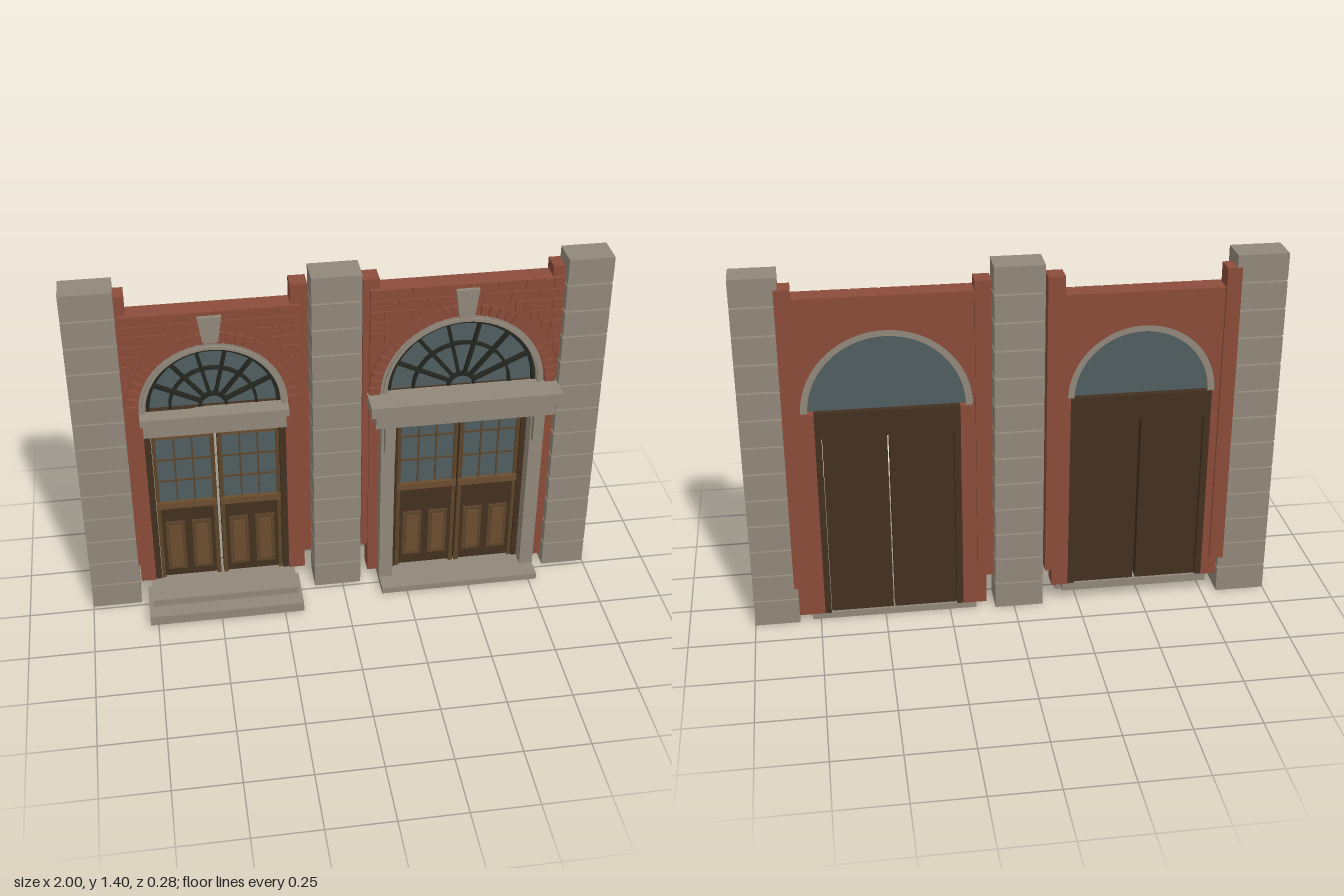
import * as THREE from 'three';

const mat = (name, color) => {
  const m = new THREE.MeshStandardMaterial({ color });
  m.name = name;
  return m;
};

export function createModel() {
  const stone = mat('stone', 0x91887a);
  const brick = mat('brick red', 0x8b4c3a);
  const darkWood = mat('dark wood', 0x433120);
  const wood = mat('wood', 0x5c4429);
  const railWood = mat('light wood', 0x6b4d2e);
  const glass = mat('glass', 0x505d60);
  const iron = mat('dark iron', 0x24261f);

  const root = new THREE.Group();
  root.name = 'doorwayFacade';

  const add = (parent, name, geo, m) => {
    const mesh = new THREE.Mesh(geo, m);
    mesh.name = name;
    parent.add(mesh);
    return mesh;
  };
  // Box given by its limits on each axis
  const box = (parent, name, m, x0, x1, y0, y1, z0, z1) => {
    const mesh = add(parent, name, new THREE.BoxGeometry(x1 - x0, y1 - y0, z1 - z0), m);
    mesh.position.set((x0 + x1) / 2, (y0 + y1) / 2, (z0 + z1) / 2);
    return mesh;
  };
  const slab = (parent, name, m, shape, z0, z1) => {
    const geo = new THREE.ExtrudeGeometry(shape, { depth: z1 - z0, bevelEnabled: false, curveSegments: 32 });
    const mesh = add(parent, name, geo, m);
    mesh.position.z = z0;
    return mesh;
  };
  // Part of a flat ring, between two radii and two angles
  const sector = (cy, r0, r1, a0, a1) => {
    const s = new THREE.Shape();
    s.absarc(0, cy, r1, a0, a1, false);
    s.absarc(0, cy, r0, a1, a0, true);
    s.closePath();
    return s;
  };

  // Stacked stone piers with open joints
  const pitch = 1.41 / 13;
  for (const [x0, x1] of [[-1, -0.81], [-0.112, 0.073], [0.83, 1]]) {
    const pier = new THREE.Group();
    pier.name = 'stonePier';
    root.add(pier);
    for (let i = 0; i < 13; i++) {
      box(pier, 'pierBlock', stone, x0, x1, i * pitch + 0.002, (i + 1) * pitch - 0.005, -0.135, -0.017);
    }
  }

  const SPRING = 0.875;

  // One bay: brick wall, arch, fanlight and double door, built around x = 0
  function bay(o) {
    const g = new THREE.Group();
    g.name = o.name;
    g.position.x = o.cx;
    root.add(g);
    const { rGlass, rStone, rBrick, half, base, top, left, right } = o;

    // Wall with an arched opening down to its foot
    const wall = new THREE.Shape();
    wall.moveTo(left, base);
    wall.lineTo(-half, base);
    wall.lineTo(-half, SPRING);
    wall.lineTo(-rStone, SPRING);
    wall.absarc(0, SPRING, rStone, Math.PI, 0, true);
    wall.lineTo(half, SPRING);
    wall.lineTo(half, base);
    wall.lineTo(right, base);
    wall.lineTo(right, top);
    wall.lineTo(left, top);
    wall.closePath();
    slab(g, 'brickWall', brick, wall, -0.13, -0.054);

    // Raised brick courses, cut back around the arch
    const course = (top - SPRING) / 10, len = 0.105, gap = 0.005;
    for (let r = 0; r < 10; r++) {
      const y0 = SPRING + r * course, dy = y0 - SPRING;
      const chord = dy < rBrick ? Math.sqrt(rBrick * rBrick - dy * dy) + 0.004 : 0;
      const spans = chord ? [[left, -chord], [chord, right]] : [[left, right]];
      for (const [a, b] of spans) {
        for (let x = left - (r % 2) * len / 2; x < b; x += len) {
          const x0 = Math.max(x, a), x1 = Math.min(x + len - gap, b);
          if (x1 - x0 > 0.006) box(g, 'brick', brick, x0, x1, y0 + gap, y0 + course, -0.056, -0.048);
        }
      }
    }

    // Brick piers at the ends of the wall
    for (const [a, b] of o.piers) box(g, 'brickPier', brick, a, b, 0.155, 1.36, -0.14, -0.064);

    // Radiating arch bricks and keystone
    const n = o.archBricks;
    for (let i = 0; i < n; i++) {
      const a = Math.PI * i / n, d = Math.PI / n;
      slab(g, 'archBrick', brick, sector(SPRING, rStone + 0.004, rBrick, a + d * 0.1, a + d * 0.9), -0.056, -0.043);
    }
    const [k0, k1] = o.key;
    const key = new THREE.Shape();
    key.moveTo(-0.028, k0);
    key.lineTo(0.028, k0);
    key.lineTo(0.044, k1);
    key.lineTo(-0.044, k1);
    key.closePath();
    slab(g, 'keystone', stone, key, -0.06, -0.033);

    // Stone arch lining and its front bead
    slab(g, 'archLining', stone, sector(SPRING, rGlass, rStone, 0, Math.PI), -0.122, -0.052);
    slab(g, 'archBead', stone, sector(SPRING, rGlass + 0.004, rGlass + 0.016, 0, Math.PI), -0.053, -0.042);

    // Fanlight
    slab(g, 'fanlightGlass', glass, sector(SPRING, 0.001, rGlass + 0.003, 0, Math.PI), -0.1, -0.085);
    for (const [r, w] of [[0.055, 0.012], [rGlass * 0.66, 0.01], [rGlass - 0.002, 0.014]]) {
      slab(g, 'fanlightRing', iron, sector(SPRING, r - w, r, 0, Math.PI), -0.086, -0.068);
    }
    for (let i = 1; i < 7; i++) {
      const a = Math.PI * i / 7, l = rGlass - 0.05, m = 0.05 + l / 2;
      const bar = add(g, 'fanlightBar', new THREE.BoxGeometry(l, 0.012, 0.02), iron);
      bar.position.set(Math.cos(a) * m, SPRING + Math.sin(a) * m, -0.076);
      bar.rotation.z = a;
    }

    // Door frame
    const foot = o.doorBase, head = o.doorTop, jamb = 0.024;
    for (const s of [-1, 1]) {
      const e = [s * half, s * (half - jamb)].sort((a, b) => a - b);
      box(g, 'doorJamb', darkWood, e[0], e[1], foot, SPRING, -0.126, -0.06);
    }
    box(g, 'doorHead', darkWood, -half + jamb, half - jamb, head - 0.012, SPRING, -0.126, -0.06);

    // Door leaves
    const [g0, g1] = o.glassY, [p0, p1] = o.panelY;
    const inner = o.seam / 2, outer = half - jamb - 0.002;
    for (const s of [-1, 1]) {
      const leaf = new THREE.Group();
      leaf.name = s < 0 ? 'rightDoorLeaf' : 'leftDoorLeaf';
      g.add(leaf);
      const part = (name, m, a, b, y0, y1, z0, z1) =>
        box(leaf, name, m, Math.min(s * a, s * b), Math.max(s * a, s * b), y0, y1, z0, z1);
      const gi = inner + 0.016, go = outer - 0.014;
      part('leafBoard', darkWood, inner, outer, foot, head - 0.012, -0.115, -0.075);
      part('innerStile', wood, inner, gi, foot, head - 0.012, -0.076, -0.064);
      part('outerStile', wood, go, outer, foot, head - 0.012, -0.076, -0.064);
      part('topRail', railWood, gi, go, g1, head - 0.012, -0.076, -0.064);
      part('middleRail', railWood, inner, outer, g0 - 0.028, g0, -0.076, -0.056);
      part('doorGlass', glass, gi, go, g0, g1, -0.076, -0.072);
      for (let i = 1; i < 3; i++) {
        const x = gi + (go - gi) * i / 3, y = g0 + (g1 - g0) * i / 3;
        part('glazingBar', wood, x - 0.003, x + 0.003, g0, g1, -0.073, -0.067);
        part('glazingBar', wood, gi, go, y - 0.003, y + 0.003, -0.073, -0.067);
      }
      // Raised panels with a smaller field on each
      const w = (go - gi) / 2;
      for (let i = 0; i < 2; i++) {
        const a = gi + w * i + 0.014, b = gi + w * (i + 1) - 0.014;
        part('doorPanel', wood, a, b, p0, p1, -0.076, -0.066);
        part('panelField', railWood, a + 0.014, b - 0.014, p0 + 0.016, p1 - 0.016, -0.067, -0.061);
      }
    }
    return g;
  }

  const rightBay = bay({
    name: 'rightBay', cx: -0.478, rGlass: 0.252, rStone: 0.278, rBrick: 0.325, half: 0.267,
    base: 0.08, top: 1.285, left: -0.325, right: 0.33, piers: [[-0.35, -0.295], [0.295, 0.358]],
    archBricks: 27, key: [1.165, 1.27], doorBase: 0.08, doorTop: 0.785, seam: 0.012,
    glassY: [0.45, 0.742], panelY: [0.118, 0.348],
  });
  // Plain lintel and two steps
  box(rightBay, 'lintelTop', stone, -0.277, 0.277, 0.845, 0.875, -0.07, 0.002);
  box(rightBay, 'lintel', stone, -0.267, 0.267, 0.787, 0.845, -0.07, -0.015);
  box(rightBay, 'upperStep', stone, -0.287, 0.287, 0.048, 0.08, -0.125, 0.075);
  box(rightBay, 'lowerStep', stone, -0.302, 0.302, 0.01, 0.05, -0.05, 0.139);

  const leftBay = bay({
    name: 'leftBay', cx: 0.465, rGlass: 0.288, rStone: 0.314, rBrick: 0.36, half: 0.267,
    base: 0.03, top: 1.32, left: -0.357, right: 0.365, piers: [[-0.382, -0.322], [0.322, 0.38]],
    archBricks: 31, key: [1.185, 1.305], doorBase: 0.028, doorTop: 0.785, seam: 0.007,
    glassY: [0.44, 0.768], panelY: [0.08, 0.292],
  });
  // Deep lintel on posts with brackets, and one step
  box(leftBay, 'lintelTop', stone, -0.365, 0.367, 0.835, 0.878, -0.07, 0.052);
  box(leftBay, 'lintel', stone, -0.345, 0.345, 0.777, 0.835, -0.07, 0.037);
  for (const s of [-1, 1]) {
    const post = box(leftBay, 'doorPost', stone, -0.027, 0.027, 0.028, 0.777, -0.07, 0);
    post.position.x = s * 0.291;
    const bracket = box(leftBay, 'bracket', stone, -0.02, 0.02, 0.655, 0.777, -0.01, 0.03);
    bracket.position.x = s * 0.288;
  }
  box(leftBay, 'step', stone, -0.317, 0.317, 0.004, 0.03, -0.125, 0.075);

  return root;
}
